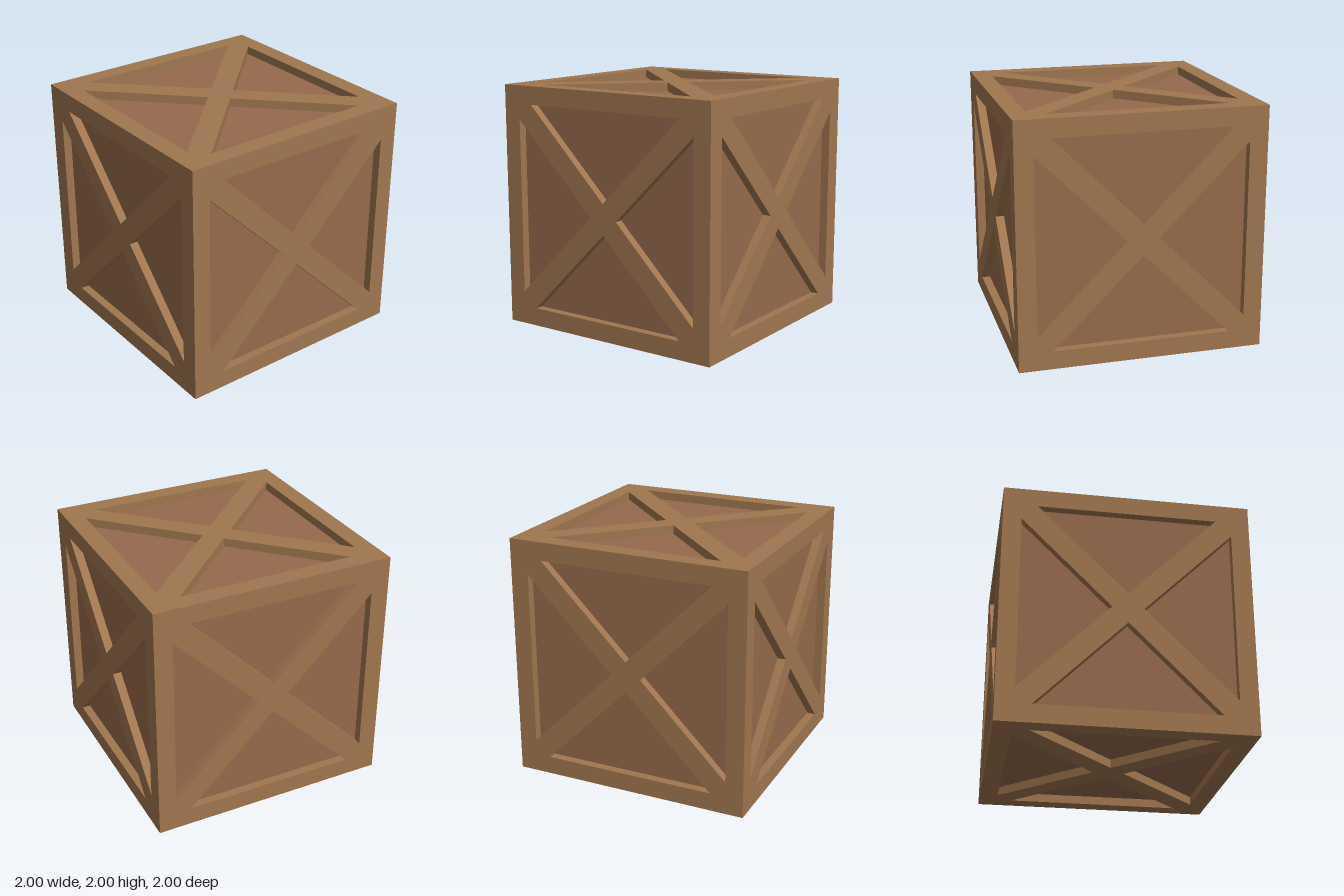
import * as THREE from 'three';

const HALF = 1;        // half the crate size
const RECESS = 0.07;   // depth of the sunken panels
const RIM = 0.85;      // inner edge of the border
const APEX = 0.127;    // half diagonal of the crossing braces

// Square face with a border and an X brace, mitred so six of them close up
function braceFaceGeometry() {
  const shape = new THREE.Shape([[-1, -1], [1, -1], [1, 1], [-1, 1]]
    .map(([x, y]) => new THREE.Vector2(x * HALF, y * HALF)));
  const reach = RIM - APEX;
  for (let i = 0; i < 4; i++) {
    const corners = [[0, APEX], [-reach, RIM], [reach, RIM]].map(([x, y]) =>
      new THREE.Vector2(x, y).rotateAround(new THREE.Vector2(), i * Math.PI / 2));
    shape.holes.push(new THREE.Path(corners));
  }
  const geo = new THREE.ExtrudeGeometry(shape, { depth: RECESS, bevelEnabled: false });
  geo.translate(0, 0, HALF - RECESS);
  // Mitre: pull the inner outline in by the plate thickness
  const pos = geo.attributes.position;
  const inner = HALF - RECESS;
  for (let i = 0; i < pos.count; i++) {
    if (pos.getZ(i) < HALF - RECESS / 2) {
      pos.setX(i, THREE.MathUtils.clamp(pos.getX(i), -inner, inner));
      pos.setY(i, THREE.MathUtils.clamp(pos.getY(i), -inner, inner));
    }
  }
  geo.computeVertexNormals();
  return geo;
}

export function createModel() {
  const crate = new THREE.Group();
  crate.name = 'crate';
  const frameMat = new THREE.MeshStandardMaterial({ color: 0xa0764f });
  const panelMat = new THREE.MeshStandardMaterial({ color: 0x966a4c });

  // Sunken panels
  const size = 2 * (HALF - RECESS);
  const panels = new THREE.Mesh(new THREE.BoxGeometry(size, size, size), panelMat);
  panels.name = 'panels';
  panels.position.y = HALF;
  crate.add(panels);

  // One braced frame per side
  const geo = braceFaceGeometry();
  const q = Math.PI / 2;
  const sides = {
    front: [0, 0], left: [0, q], back: [0, 2 * q], right: [0, -q], top: [-q, 0], bottom: [q, 0],
  };
  for (const [name, [rx, ry]] of Object.entries(sides)) {
    const frame = new THREE.Mesh(geo, frameMat);
    frame.name = `${name}Frame`;
    frame.rotation.set(rx, ry, 0);
    frame.position.y = HALF;
    crate.add(frame);
  }
  return crate;
}
